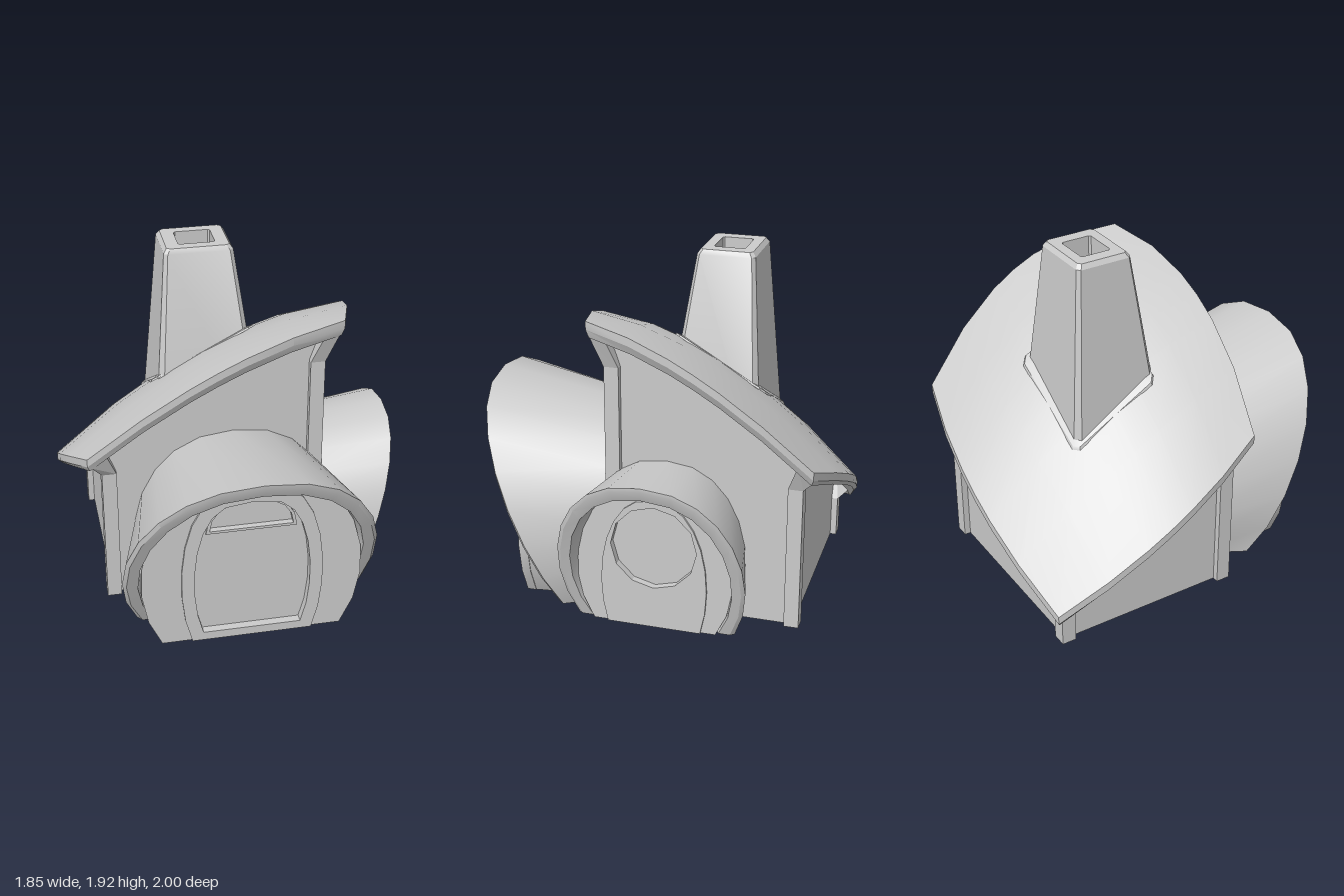
import * as THREE from 'three';
import { toCreasedNormals } from 'three/addons/utils/BufferGeometryUtils.js';

const CX = -0.12, CZ = -0.3; // centre of the house body
const ROOF_THICK = 0.09;

const material = new THREE.MeshStandardMaterial({ color: 0xcccccc, side: THREE.DoubleSide });

function makeMesh(name, geometry, crease = 0.5) {
  const mesh = new THREE.Mesh(toCreasedNormals(geometry, crease), material);
  mesh.name = name;
  return mesh;
}

// Skin over rows of [x, y, z] points; closed joins the row ends, skip leaves out cells
function loft(rows, closed = false, skip = () => false) {
  const n = rows[0].length, index = [];
  const geometry = new THREE.BufferGeometry();
  geometry.setAttribute('position', new THREE.Float32BufferAttribute(rows.flat(2), 3));
  for (let i = 0; i < rows.length - 1; i++) {
    for (let j = 0; j < (closed ? n : n - 1); j++) {
      if (skip(i, j)) continue;
      const a = i * n + j, d = i * n + (j + 1) % n;
      index.push(a, a + n, d + n, a, d + n, d);
    }
  }
  geometry.setIndex(index);
  return geometry;
}

// Swollen arch, left to right, cut off flat at height y0; a lower power is squarer
function arch(w, h, yc, y0 = 0, power = 0.85, n = 16) {
  const ry = h - yc, a0 = Math.asin((y0 - yc) / ry), pts = [];
  for (let i = 0; i <= n; i++) {
    const a = Math.PI - a0 + (2 * a0 - Math.PI) * (i / n);
    const c = Math.cos(a);
    pts.push(new THREE.Vector2(w * Math.sign(c) * Math.abs(c) ** power, yc + ry * Math.sin(a)));
  }
  return pts;
}

const circle = (r, y) => new THREE.Path().absarc(0, y, r, 0, Math.PI * 2).getPoints(6);

// Flat slab from an outline, with an optional hole, between two depths
function slab(name, outline, hole, z0, z1) {
  const shape = new THREE.Shape(outline);
  if (hole) shape.holes.push(new THREE.Path(hole));
  const g = new THREE.ExtrudeGeometry(shape, { depth: z1 - z0, bevelEnabled: false });
  return makeMesh(name, g.translate(0, 0, z0), 0.4);
}

// Tilted, gently domed roof surface over u, v in -1..1
function roofPoint(u, v) {
  const x = u * (0.69 + 0.12 * (1 - v * v)), z = v * (0.6 + 0.1 * (1 - u * u));
  const dome = 0.1 * (1 - u * u * v * v) + 0.18 * (1 - u * u) * (1 - v * v);
  return [CX + x, 0.955 + 0.5 * x + 0.575 * z + dome, CZ + z];
}

function roofHeight(x, z) {
  let u = 0, v = 0;
  for (let k = 0; k < 8; k++) {
    const nu = (x - CX) / (0.69 + 0.12 * (1 - v * v));
    v = (z - CZ) / (0.6 + 0.1 * (1 - u * u));
    u = nu;
  }
  return roofPoint(u, v)[1];
}

function makeRoof() {
  const roof = new THREE.Group();
  roof.name = 'roof';
  const t = [-1, -0.58, -0.22, 0, 0.22, 0.58, 1];
  const drop = ([x, y, z], by) => [x, y - by, z];
  const under = (u, v) => drop(roofPoint(u * 0.97, v * 0.97), ROOF_THICK);
  const inMiddle = k => k === 2 || k === 3;
  const hole = (i, j) => inMiddle(i) && inMiddle(j); // lets the flue through
  const grid = f => t.map(v => t.map(u => f(u, v)));
  roof.add(makeMesh('roofTop', loft(grid(roofPoint), false, hole), 0.9));
  roof.add(makeMesh('roofUnderside', loft(grid(under).reverse(), false, hole), 0.9));
  // Rim around the edge, following the four sides in turn
  const sides = [k => [1, k], k => [-k, 1], k => [-1, -k], k => [k, -1]];
  const edge = sides.flatMap(f => t.slice(0, -1).map(f));
  const rim = [edge.map(e => under(...e)), edge.map(e => drop(roofPoint(...e), 0.045)),
    edge.map(e => roofPoint(...e))];
  roof.add(makeMesh('roofRim', loft(rim, true), 0.4));
  return roof;
}

// Rectangle ring with clipped corners, y given as a number or a rule
function clippedRing(hx, hz, y, dx = 0, dz = 0) {
  const clip = c => THREE.MathUtils.clamp(c * 2.33, -1, 1);
  return Array.from({ length: 8 }, (_, k) => {
    const a = (k + 0.5) * Math.PI / 4;
    const x = CX + dx + hx * clip(Math.cos(a)), z = CZ + dz + hz * clip(Math.sin(a));
    return [x, typeof y === 'function' ? y(x, z) : y, z];
  });
}

function makeChimney() {
  const chimney = new THREE.Group();
  chimney.name = 'chimney';
  const rings = [[0.305, 0.275, 0.85, 0.03, 0.04], [0.188, 0.157, 1.895], [0.17, 0.14, 1.92],
    [0.1, 0.085, 1.92], [0.1, 0.085, 0.85]];
  chimney.add(makeMesh('chimneyStack', loft(rings.map(r => clippedRing(...r)), true)));
  const collar = [[0.285, 0.25, 0], [0.28, 0.245, 0.012], [0.2, 0.18, 0.012]]
    .map(([hx, hz, up]) => clippedRing(hx, hz, (x, z) => roofHeight(x, z) + up));
  chimney.add(makeMesh('chimneyCollar', loft(collar, true)));
  return chimney;
}

// Wall facing the given turn, half as wide as hw, with an optional arched opening
function makeWall(name, turn, hw, depth, opening = []) {
  const sin = Math.sin(turn), cos = Math.cos(turn), n = 8;
  const top = Array.from({ length: n + 1 }, (_, k) => {
    const s = hw - 2 * hw * k / n;
    const x = CX + s * cos + depth * sin, z = CZ - s * sin + depth * cos;
    return new THREE.Vector2(s, roofHeight(x, z) - ROOF_THICK + 0.02);
  });
  const shape = new THREE.Shape([new THREE.Vector2(-hw, 0), ...opening, new THREE.Vector2(hw, 0), ...top]);
  const wall = makeMesh(name, new THREE.ShapeGeometry(shape).translate(0, 0, depth));
  wall.rotation.y = turn;
  wall.position.set(CX, 0, CZ);
  return wall;
}

function makeWalls() {
  const hx = 0.575, hz = 0.5, walls = new THREE.Group();
  walls.name = 'walls';
  // Openings into the porch and bay, kept clear of the corners
  const cut = (pts, shift, limit) => pts.map(p =>
    new THREE.Vector2(THREE.MathUtils.clamp(p.x + shift, -limit, limit), p.y));
  walls.add(
    makeWall('frontWall', 0, hx, hz, cut(arch(0.54, 0.96, 0.38), -CX, hx - 0.05)),
    makeWall('leftWall', Math.PI / 2, hz, hx, cut(arch(0.41, 0.82, 0.32), CZ + 0.09, hz - 0.05)),
    makeWall('backWall', Math.PI, hx, hz),
    makeWall('rightWall', -Math.PI / 2, hz, hx),
  );
  return walls;
}

// Corner post with a bracket flaring out under the eaves
function makePost(sx, sz) {
  const px = CX + sx * 0.57, pz = CZ + sz * 0.495, r = 0.04;
  const top = roofHeight(px, pz) - ROOF_THICK;
  const ring = (size, out, rule) => [[1, 1], [-1, 1], [-1, -1], [1, -1]].map(([a, b]) => {
    const x = px + a * size + sx * out, z = pz + b * size + sz * out;
    return [x, rule(x, z), z];
  });
  const rows = [ring(0, 0, () => 0), ring(r, 0, () => 0), ring(r, 0, () => top - 0.15),
    ring(r, 0.06, (x, z) => roofHeight(x, z) - ROOF_THICK + 0.015)];
  return makeMesh('cornerPost', loft(rows, true), 0.2);
}

// Sweep of arches, each with a depth that rises with height by a slope
function makeShell(name, rings) {
  const rows = rings.map(([w, h, yc, d0, slope]) =>
    arch(w, h, yc).map(p => [p.x, p.y, d0 + slope * p.y]));
  return makeMesh(name, loft(rows), 0.5);
}

function makePorch() {
  const porch = new THREE.Group();
  porch.name = 'porch';
  const opening = arch(0.315, 0.865, 0.37, 0.05, 0.6);
  const windowHole = arch(0.245, 0.86, 0.66, 0.665, 0.7, 8);
  porch.add(
    makeShell('hood', [
      [0.56, 0.99, 0.38, 0.2, 0],
      [0.69, 1.14, 0.4, 0.46, 0.473],
      [0.67, 1.11, 0.4, 0.49, 0.455],
      [0.61, 1.06, 0.4, 0.495, 0.45],
      [0.59, 1.02, 0.39, 0.46, 0.2],
    ]),
    makeShell('porchLining', [[0.545, 0.975, 0.38, 0.2, 0], [0.6, 1.03, 0.39, 0.7, 0]]),
    slab('porchFront', arch(0.6, 1.03, 0.39), opening, 0.66, 0.71),
    slab('doorFrame', arch(0.385, 0.95, 0.37, 0, 0.6), opening, 0.66, 0.722),
    slab('door', arch(0.33, 0.885, 0.37, 0.03, 0.6), windowHole, 0.64, 0.675),
    slab('doorWindowTrim', windowHole, arch(0.225, 0.845, 0.675, 0.68, 0.7, 8), 0.645, 0.685),
    slab('doorWindowPane', arch(0.26, 0.87, 0.64, 0.65, 0.7, 8), null, 0.63, 0.65),
  );
  return porch;
}

function makeSideBay() {
  const bay = new THREE.Group();
  bay.name = 'sideBay';
  const hole = circle(0.235, 0.47);
  bay.add(
    makeShell('hood', [
      [0.44, 0.87, 0.32, 0.44, 0],
      [0.51, 0.92, 0.33, 0.645, 0.3],
      [0.49, 0.9, 0.33, 0.66, 0.29],
      [0.44, 0.84, 0.33, 0.66, 0.28],
      [0.42, 0.82, 0.33, 0.62, 0.1],
    ]),
    makeShell('bayLining', [[0.41, 0.82, 0.32, 0.44, 0], [0.43, 0.83, 0.33, 0.675, 0]]),
    slab('bayFront', arch(0.43, 0.83, 0.33), hole, 0.64, 0.68),
    slab('windowFrame', arch(0.29, 0.745, 0.25), hole, 0.64, 0.692),
    slab('windowPane', circle(0.25, 0.47), null, 0.63, 0.65),
  );
  bay.rotation.y = Math.PI / 2;
  bay.position.z = -0.09;
  return bay;
}

export function createModel() {
  const model = new THREE.Group();
  model.name = 'house';
  model.add(makeWalls(), makeRoof(), makeChimney(), makePorch(), makeSideBay());
  for (const sx of [-1, 1]) for (const sz of [-1, 1]) model.add(makePost(sx, sz));
  return model;
}
